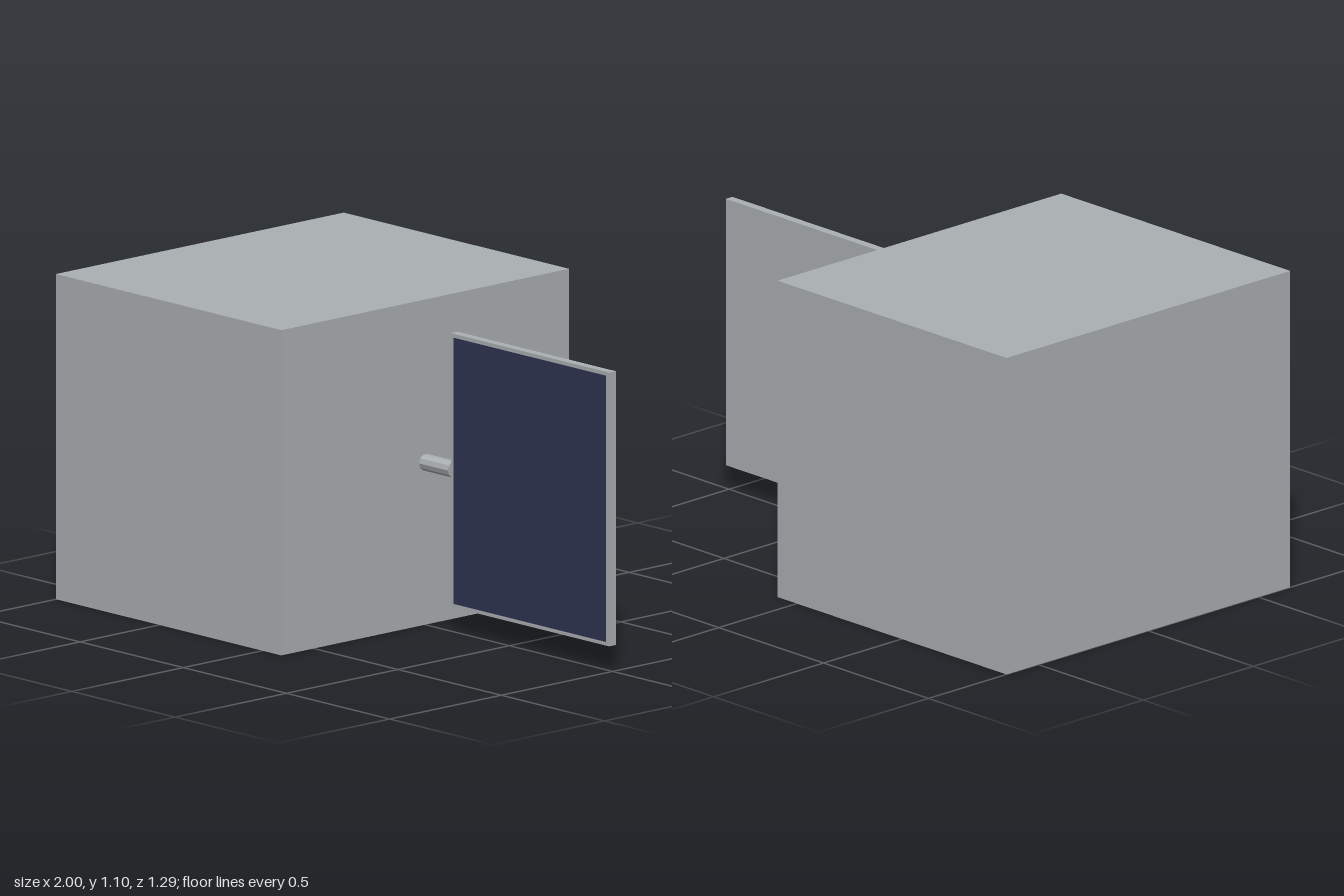
import * as THREE from 'three';

export function createModel() {
  const model = new THREE.Group();
  const grey = new THREE.MeshStandardMaterial({ color: 0xabb0b3 });
  grey.name = 'metal grey';
  const navy = new THREE.MeshStandardMaterial({ color: 0x2d3450 });
  navy.name = 'cell navy';

  const add = (name, geometry, material, x, y, z = 0) => {
    const mesh = new THREE.Mesh(geometry, material);
    mesh.name = name;
    mesh.position.set(x, y, z);
    model.add(mesh);
    return mesh;
  };

  const midY = 0.55;

  // Main block
  add('body', new THREE.BoxGeometry(1.092, 1.1, 1.29), grey, -0.454, midY);

  // Faceted arm joining block and panel
  const armGeometry = new THREE.CylinderGeometry(0.028, 0.028, 0.14, 10).toNonIndexed();
  armGeometry.computeVertexNormals();
  armGeometry.rotateZ(Math.PI / 2);
  add('panelArm', armGeometry, grey, 0.162, midY);

  // Panel frame with a thin cell sheet on its front
  add('panelFrame', new THREE.BoxGeometry(0.768, 0.926, 0.03), grey, 0.616, midY);
  add('solarCells', new THREE.BoxGeometry(0.736, 0.9, 0.003), navy, 0.616, midY, 0.0155);

  return model;
}
